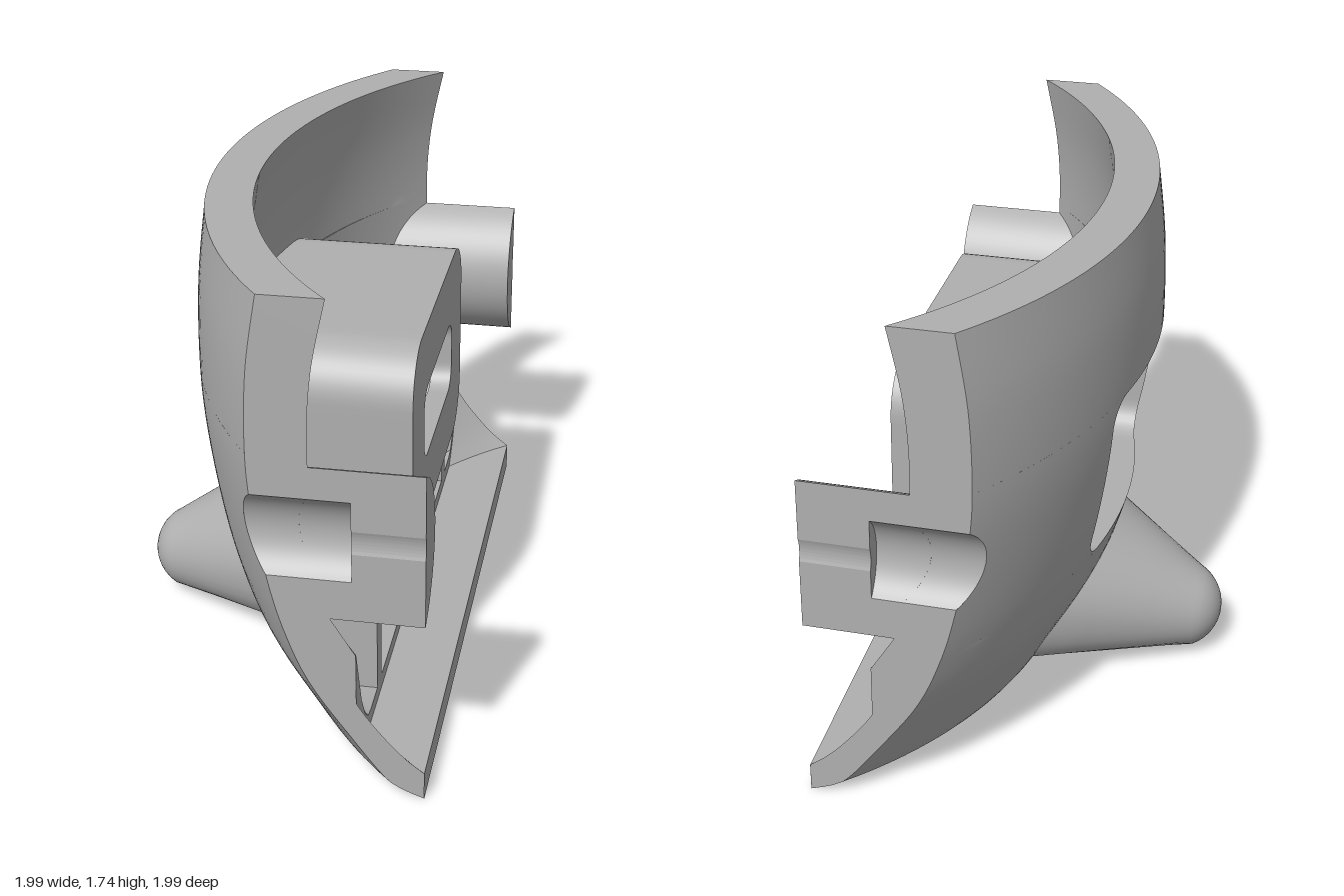
import * as THREE from 'three';
import { toCreasedNormals } from 'three/addons/utils/BufferGeometryUtils.js';

const C = 1.21;      // distance of the axis of revolution in front of the centre
const HALF = 1.13;   // half width between the side cuts
const FRONT = 0.27;  // front cut plane
const V = (x, y, z) => new THREE.Vector3(x, y, z);

// profiles as [radius, height]
const OUTER = [[1.47, 0], [1.52, .03], [1.556, .07], [1.625, .2], [1.73, .41], [1.79, .6], [1.83, .8],
  [1.862, 1.05], [1.87, 1.25], [1.86, 1.5], [1.83, 1.74]];
const INNER = [[1.47, .1], [1.53, .18], [1.62, .35], [1.655, .5], [1.68, .65], [1.71, .9],
  [1.722, 1.25], [1.71, 1.5], [1.674, 1.74]];
const LINER = [[1.17, .15], [1.3, .15], [1.46, .15], [1.49, .16], [1.52, .2], [1.56, .3], [1.615, .53], [1.69, .67]];

// radius of a profile at any height
function radiusAt(profile) {
  const pts = new THREE.SplineCurve(profile.map(p => new THREE.Vector2(...p))).getPoints(120);
  return y => {
    let i = 1;
    while (i < pts.length - 1 && pts[i].y < y) i++;
    const a = pts[i - 1], b = pts[i];
    const t = THREE.MathUtils.clamp((y - a.y) / (b.y - a.y), 0, 1);
    return a.x + (b.x - a.x) * t;
  };
}
const rOut = radiusAt(OUTER), rIn = radiusAt(INNER);
const depth = (r, u) => C - Math.sqrt(Math.max(r * r - u * u, 0));

// surface from rows of points
function grid(rows, skip = -1) {
  const n = rows[0].length, pos = [], index = [];
  rows.forEach(row => row.forEach(p => pos.push(p.x, p.y, p.z)));
  for (let i = 0; i < rows.length - 1; i++) {
    for (let j = 0; j < n - 1; j++) {
      if (j === skip) continue;
      const a = i * n + j, b = a + n;
      index.push(a, b, a + 1, b, b + 1, a + 1);
    }
  }
  const g = new THREE.BufferGeometry();
  g.setAttribute('position', new THREE.Float32BufferAttribute(pos, 3));
  g.setIndex(index);
  return toCreasedNormals(g, 0.6);
}

// rows of a revolved surface trimmed by the side cuts and a front plane
function revolved(list, plane, hole = () => 0, notch = () => HALF) {
  const N = 26;
  return grid(list.map(([r, y]) => {
    const end = Math.min(notch(y), Math.sqrt(Math.max(r * r - (C - plane) ** 2, 0)));
    const start = Math.min(hole(y), end), row = [];
    for (let j = 0; j <= N; j++) row.push(-end + (end - start) * j / N);
    for (let j = 0; j <= N; j++) row.push(start + (end - start) * j / N);
    return row.map(u => V(u, y, depth(r, u)));
  }), N);
}

// half width of the pocket opening, and of the wall beside the bolt recess
function pocketHalf(y) {
  const d = Math.abs(y - .915);
  if (d > .30501) return 0;
  return d > .205 ? .39 + Math.sqrt(Math.max(.01 - (d - .205) ** 2, 0)) : .49;
}
function wallEnd(y) {
  const d = Math.abs(y - .94);
  return d < .14 ? 1.235 - Math.sqrt(.175 ** 2 - d * d) : HALF;
}

function roundRect(hw, y0, y1, r) {
  const s = new THREE.Shape(), q = Math.PI / 2;
  s.absarc(hw - r, y0 + r, r, -q, 0);
  s.absarc(hw - r, y1 - r, r, 0, q);
  s.absarc(-hw + r, y1 - r, r, q, 2 * q);
  s.absarc(-hw + r, y0 + r, r, 2 * q, 3 * q);
  s.closePath();
  return s;
}

// walls along an outline, from a front depth to a back depth rule
const walls = (pts, front, back) => grid([
  pts.map(p => V(p.x, p.y, front)),
  pts.map(p => V(p.x, p.y, back(p.x, p.y))),
]);

const polygon = pts => new THREE.ShapeGeometry(new THREE.Shape(pts.map(p => Array.isArray(p) ? new THREE.Vector2(...p) : p)));

// arc around the bolt axis, ending on the left side cut
function arc(r, cy) {
  const a = Math.acos(.105 / r), pts = [];
  for (let i = 0; i <= 24; i++) {
    const t = -a + 2 * a * i / 24;
    pts.push(new THREE.Vector2(-1.235 + r * Math.cos(t), cy + r * Math.sin(t)));
  }
  return pts;
}

export function createModel() {
  const model = new THREE.Group();
  const body = new THREE.Group();
  body.name = 'housingSegment';
  body.rotation.y = Math.PI / 4;
  model.add(body);
  const grey = new THREE.MeshStandardMaterial({ color: 0xb0b0b0, side: THREE.DoubleSide });
  grey.name = 'plain grey';
  const add = (name, geo, parent = body, z = 0) => {
    const m = new THREE.Mesh(geo, grey);
    m.name = name;
    m.position.z = z;
    parent.add(m);
    return m;
  };

  // curved shell: floor, outer wall, rim, inner wall and inner floor in one loop
  const ys = [0, .015, .03, .05, .07, .1, .6099, .61, .613, .62, .64, .67, 1.16, 1.19, 1.21, 1.217, 1.22, 1.2201, 1.74];
  for (let y = .14; y < 1.72; y += .04) ys.push(y);
  for (let k = 0; k <= 14; k++) ys.push(.94 - .14 * Math.cos(Math.PI * k / 14));
  ys.sort((a, b) => a - b);
  const floor = [.94, .96, 1, 1.1, 1.2, 1.3, 1.4];
  const loop = [
    ...floor.map(r => [r, 0]),
    ...ys.map(y => [rOut(y), y]),
    ...ys.filter(y => y >= .1).reverse().map(y => [rIn(y), y]),
    ...floor.slice().reverse().map(r => [r, .1]),
  ];
  add('shell', revolved(loop, FRONT, pocketHalf, wallEnd));
  add('frontLip', polygon([[-HALF, 0], [HALF, 0], [HALF, .1], [-HALF, .1]]), body, FRONT);

  // raised liner on the floor with its flat front edge
  add('liner', revolved(LINER.slice().reverse(), .05));
  const edge = r => Math.min(HALF, Math.sqrt(Math.max(r * r - 1.16 ** 2, 0)));
  const half = [
    ...[.1, .14, .18, .22, .26, .3, .35].map(y => [edge(rIn(y)), y]),
    ...LINER.slice(2, 7).reverse().map(([r, y]) => [edge(r), y]),
  ];
  add('linerEdge', polygon([...half, ...half.slice().reverse().map(([u, y]) => [-u, y])]), body, .05);

  // rectangular sleeve with a slot in front and a wide pocket behind
  const sleeve = roundRect(.56, .54, 1.29, .18);
  const slot = roundRect(.32, .785, 1.05, .08);
  const pocket = roundRect(.49, .61, 1.22, .1);
  const outline = s => s.getSpacedPoints(140);
  add('sleeveWalls', walls(outline(sleeve), .135, (u, y) => depth(rOut(y), u) + .07));
  add('slotWalls', walls(outline(slot), .135, () => .06));
  add('pocketWalls', walls(outline(pocket), .06, (u, y) => depth(rOut(y), u)));
  sleeve.holes.push(new THREE.Path(slot.getPoints(10)));
  pocket.holes.push(new THREE.Path(slot.getPoints(10)));
  add('sleeveFace', new THREE.ShapeGeometry(sleeve, 10), body, .135);
  add('pocketFloor', new THREE.ShapeGeometry(pocket, 10), body, .06);

  // side details, built once and mirrored
  for (const side of [1, -1]) {
    const g = new THREE.Group();
    g.name = side > 0 ? 'rightEnd' : 'leftEnd';
    g.scale.x = side;
    body.add(g);

    // flat cut faces above and below the bolt recess
    const outerPts = (lo, hi) => ys.filter(y => y >= lo - 1e-6 && y <= hi + 1e-6).map(y => [depth(rOut(y), HALF), y]);
    const innerPts = (lo, hi) => ys.filter(y => y >= lo && y <= hi).reverse().map(y => [depth(rIn(y), HALF), y]);
    const lower = [...outerPts(0, .8), [.04, .8], [.04, .9], [.27, .9], [.27, .66], [-.03, .66],
      [.05, .53], [.05, .35], ...innerPts(.1, .34)];
    const upper = [...outerPts(1.08, 1.74), ...innerPts(1.195, 1.74), [depth(rIn(1.19), HALF), 1.19],
      [.27, 1.19], [.27, .98], [.04, .98], [.04, 1.08]];
    for (const [name, pts] of [['lowerCut', lower], ['upperCut', upper]]) {
      add(name, polygon(pts).rotateY(-Math.PI / 2), g).position.x = -HALF;
    }

    // half round bolt boss with stepped bore
    const boss = arc(.285, .925), bore = arc(.113, .94), recess = arc(.175, .94);
    add('boss', walls(boss, FRONT, (u, y) => depth(rIn(y) + .05, u)), g);
    add('bossFace', polygon([...boss, ...bore.slice().reverse()]), g, FRONT);
    add('bore', walls(bore, FRONT, () => .04), g);
    add('recess', walls(recess, .04, (u, y) => depth(rOut(y), u)), g);
    add('recessStep', polygon([...recess, ...bore.slice().reverse()]), g, .04);

    // support rib: slim fin in front, wider block behind
    const rib = (name, w, u, width) => {
      const s = new THREE.Shape([[w, .12], [w, .54], [-.355, .54], [-.15, .12]].map(p => new THREE.Vector2(...p)));
      const geo = new THREE.ExtrudeGeometry(s, { depth: width, bevelEnabled: false });
      add(name, geo.rotateY(-Math.PI / 2), g).position.x = -u;
    };
    rib('ribFin', .05, .685, .08);
    rib('ribBlock', -.08, .57, .19);
  }

  // blunt spike on the outside, running into the wall
  const rows = Array.from({ length: 11 }, () => []);
  for (let k = 0; k <= 40; k++) {
    const p = 2 * Math.PI * k / 40, cu = Math.cos(p), sy = Math.sin(p);
    for (let i = 0; i < 8; i++) {
      const t = 1.09 * i / 7, r = .165 * Math.sin(t);
      rows[i].push(V(r * cu, .165 + r * sy, -.78 - .165 * Math.cos(t)));
    }
    const a = rows[7][k];
    const at = d => V(a.x + .6 * cu * d, Math.max(0, a.y + (.31 + .35 * sy) * d * (sy < 0 ? 1 + sy * .9 : 1)), a.z + d);
    let d = 0;
    while (d < .7 && at(d).z < depth(rOut(at(d).y), at(d).x) + .04) d += .005;
    for (let i = 1; i <= 3; i++) rows[7 + i].push(at(d * i / 3));
  }
  add('spike', grid(rows));

  return model;
}
